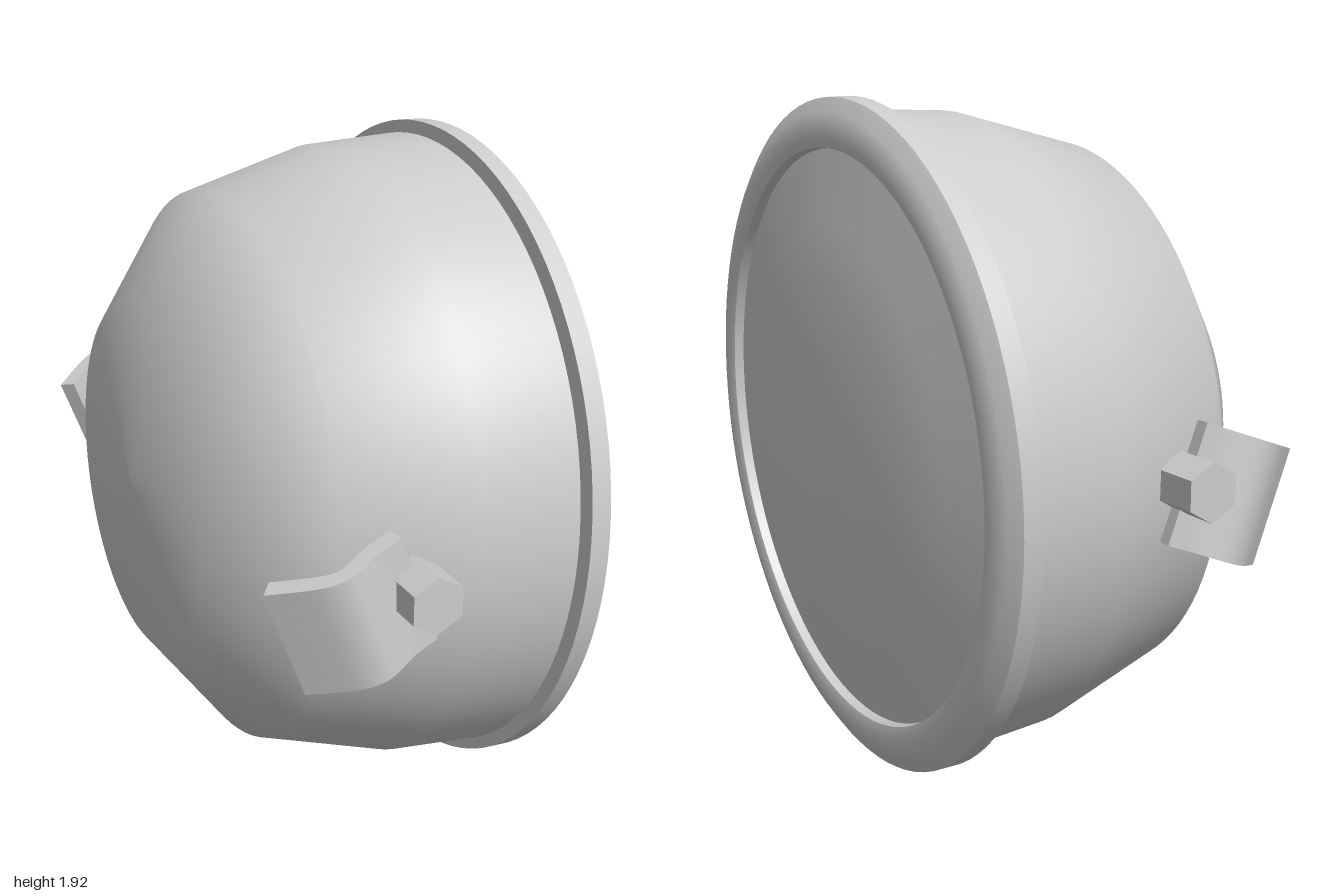
import * as THREE from 'three';
import { toCreasedNormals } from 'three/addons/utils/BufferGeometryUtils.js';

const grey = new THREE.MeshStandardMaterial({ color: 0xcccccc });
grey.name = 'grey';

function part(name, geometry) {
  const mesh = new THREE.Mesh(geometry, grey);
  mesh.name = name;
  return mesh;
}

// Round part about the x axis from [position along axis, radius] pairs
function turned(name, profile) {
  const points = profile.map(([u, r]) => new THREE.Vector2(r, u));
  return part(name, new THREE.LatheGeometry(points, 96).rotateZ(-Math.PI / 2));
}

// S-bent mounting plate: a thickened curve, extruded along its width
function bracket(name, side) {
  const curve = new THREE.SplineCurve([
    [0.02, 0.8], [0.12, 0.885], [0.17, 0.912], [0.21, 0.912], [0.28, 0.885], [0.36, 0.872],
  ].map(([s, d]) => new THREE.Vector2(s, d)));
  const outer = [], inner = [];
  for (let i = 0; i <= 24; i++) {
    const p = curve.getPoint(i / 24), t = curve.getTangent(i / 24);
    const n = new THREE.Vector2(-t.y, t.x).multiplyScalar(0.026);
    outer.push(new THREE.Vector2(p.x + n.x, side * (p.y + n.y)));
    inner.push(new THREE.Vector2(p.x - n.x, side * (p.y - n.y)));
  }
  const shape = new THREE.Shape([...outer, ...inner.reverse()]);
  const geometry = new THREE.ExtrudeGeometry(shape, { depth: 0.33, bevelEnabled: false });
  geometry.rotateX(Math.PI / 2);
  const mesh = part(name, toCreasedNormals(geometry, 0.6));
  mesh.position.set(-0.48, 1.0, 0);
  mesh.rotation.z = 0.35;
  return mesh;
}

// Six-sided bolt head with a corner pointing up
function bolt(name, side) {
  const geometry = new THREE.CylinderGeometry(0.08, 0.08, 0.14, 6).rotateX(Math.PI / 2);
  const mesh = part(name, toCreasedNormals(geometry, 0.5));
  mesh.position.set(-0.085, 0.97, side * 0.93);
  return mesh;
}

export function createModel() {
  const model = new THREE.Group();
  model.name = 'headlamp';

  // Lamp, tipped slightly downward
  const lamp = new THREE.Group();
  lamp.name = 'lamp';
  lamp.position.y = 0.983;
  lamp.rotation.z = -0.037;
  lamp.add(
    turned('bowl', [[-0.535, 0], [-0.5, 0.495], [-0.265, 0.797], [0.1, 0.905], [0.373, 0.924]]),
    turned('bowlLip', [[0.373, 0.924], [0.373, 0.9]].reverse().map(([u, r]) => [u, r]).reverse()),
    turned('seal', [[0.37, 0.905], [0.39, 0.905]]),
    turned('rimBack', [[0.385, 0.89], [0.385, 0.96]]),
    turned('rimEdge', [[0.385, 0.96], [0.442, 0.96]]),
    turned('rimFace', [[0.442, 0.96], [0.468, 0.92], [0.481, 0.885], [0.482, 0.85], [0.474, 0.825]]),
    turned('rimInside', [[0.474, 0.825], [0.435, 0.82]]),
    turned('lens', [[0.445, 0.822], [0.483, 0.62], [0.511, 0.46], [0.525, 0.22], [0.53, 0]]),
  );
  model.add(lamp);

  // Mounting hardware on both sides
  for (const [label, side] of [['front', 1], ['back', -1]]) {
    model.add(bracket(label + 'Bracket', side), bolt(label + 'Bolt', side));
  }
  return model;
}
